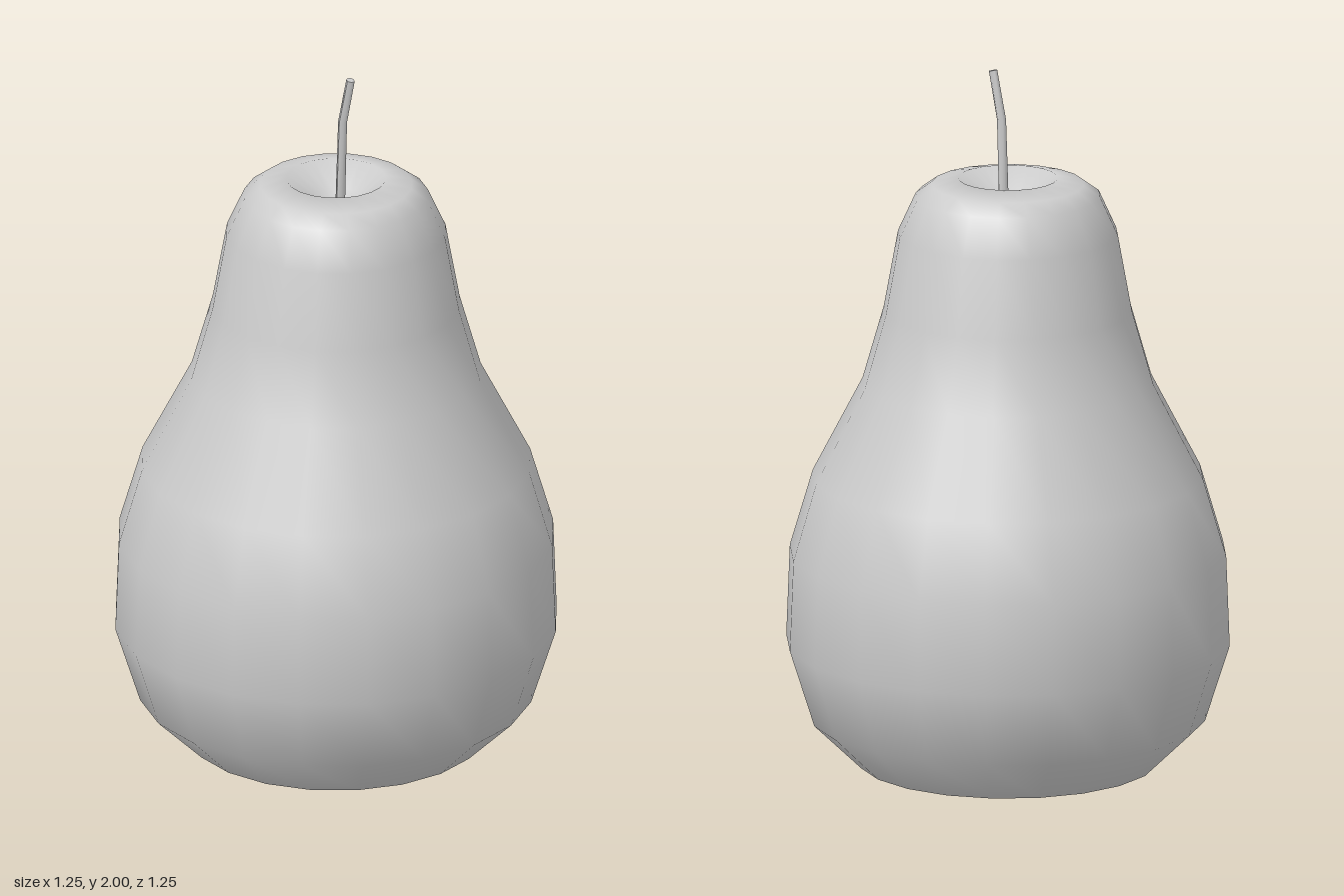
import * as THREE from 'three';

const SIDES = 20;

export function createModel() {
  const group = new THREE.Group();
  const material = new THREE.MeshStandardMaterial({ color: 0xcccccc });
  const add = (name, geometry) => {
    const mesh = new THREE.Mesh(geometry, material);
    mesh.name = name;
    group.add(mesh);
    return mesh;
  };

  // Pear body: smooth lathe from the base edge up to the dimple under the stem
  const profile = [
    [0.42, 0], [0.555, 0.13], [0.625, 0.35], [0.615, 0.61], [0.55, 0.83],
    [0.41, 1.1], [0.35, 1.31], [0.31, 1.53], [0.26, 1.64], [0.215, 1.673],
    [0.14, 1.69], [0.07, 1.63], [0, 1.6],
  ].map(([r, y]) => new THREE.Vector2(r, y));
  add('body', new THREE.LatheGeometry(profile, SIDES));

  // Flat base with a sharp edge
  const base = new THREE.CircleGeometry(0.42, SIDES);
  base.rotateX(Math.PI / 2);
  add('base', base);

  // Stem: thin rod of three rings, bent towards +x
  const rings = [[0, 1.59], [0.01, 1.86], [0.042, 1.997]];
  const stem = new THREE.CylinderGeometry(0.012, 0.014, 2, 6, 2);
  const p = stem.attributes.position;
  for (let i = 0; i < p.count; i++) {
    const level = Math.round(p.getY(i) + 1);
    const [x, y] = rings[level];
    // The tip is cut square to the bend
    const tilt = level === 2 ? -0.22 * p.getX(i) : 0;
    p.setXYZ(i, p.getX(i) + x, y + tilt, p.getZ(i) - 0.016);
  }
  stem.computeVertexNormals();
  add('stem', stem);

  return group;
}
